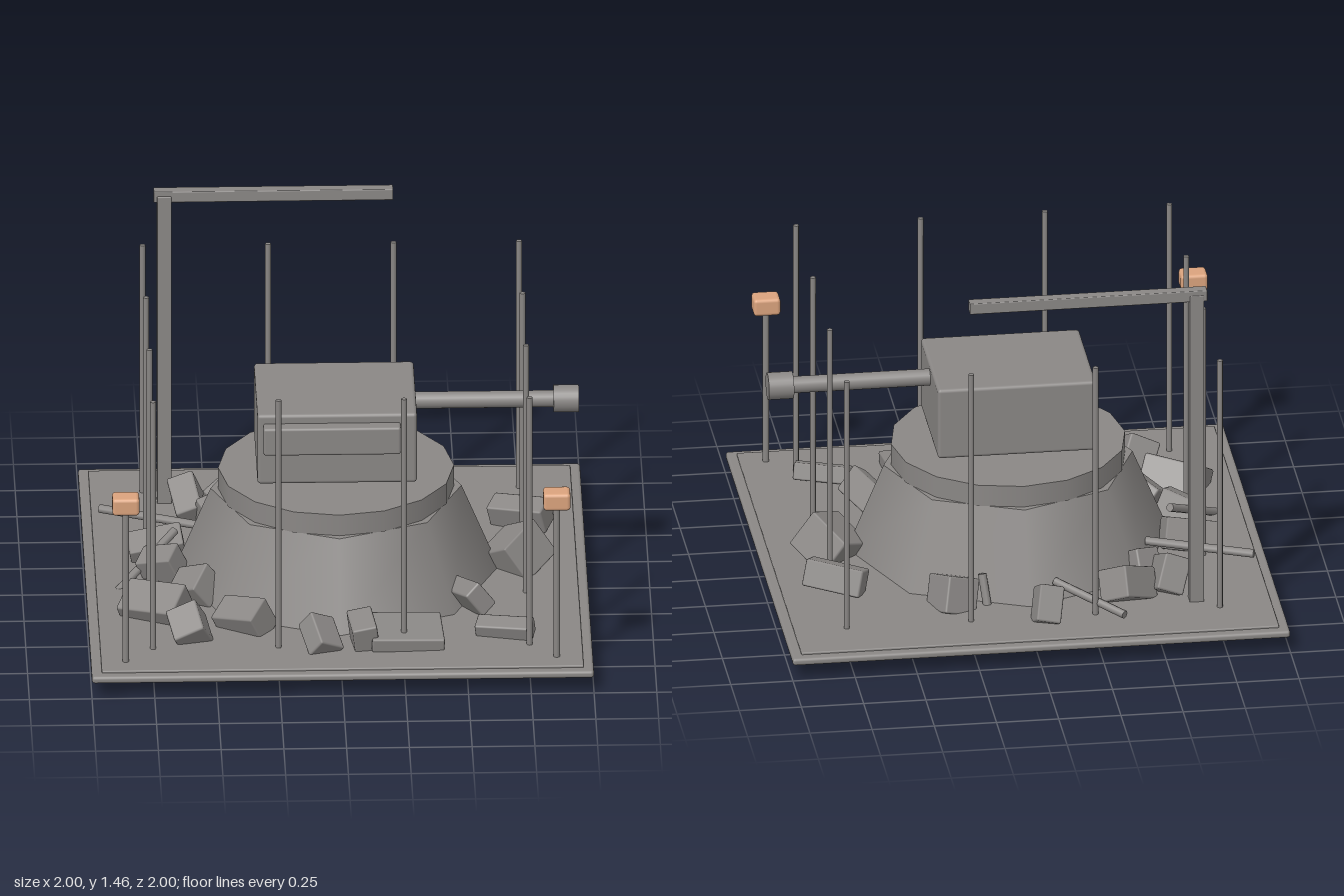
import * as THREE from 'three';
import { RoundedBoxGeometry } from 'three/addons/geometries/RoundedBoxGeometry.js';

const mat = (name, color, extra) => {
  const m = new THREE.MeshStandardMaterial({ color });
  m.name = name;
  return Object.assign(m, extra);
};

export function createModel() {
  const model = new THREE.Group();
  const concrete = mat('concrete grey', 0x8a8785);
  const orange = mat('lamp orange', 0xdba37d);

  const add = (name, geometry, x, y, z, material = concrete, parent = model) => {
    const mesh = new THREE.Mesh(geometry, material);
    mesh.name = name;
    mesh.position.set(x, y, z);
    parent.add(mesh);
    return mesh;
  };
  const group = (name) => {
    const g = new THREE.Group();
    g.name = name;
    model.add(g);
    return g;
  };
  // box with a small chamfered edge, given by its minimum and maximum corners
  const block = (name, [x0, y0, z0], [x1, y1, z1], bevel, material, parent) =>
    add(name, new RoundedBoxGeometry(x1 - x0, y1 - y0, z1 - z0, 2, bevel),
      (x0 + x1) / 2, (y0 + y1) / 2, (z0 + z1) / 2, material, parent);
  // round bar between two points
  const bar = (name, a, b, radius, parent, sides = 10) => {
    const p = new THREE.Vector3(...a), q = new THREE.Vector3(...b);
    const d = q.clone().sub(p);
    const mid = p.clone().add(q).multiplyScalar(0.5);
    const m = add(name, new THREE.CylinderGeometry(radius, radius, d.length(), sides),
      mid.x, mid.y, mid.z, concrete, parent);
    m.quaternion.setFromUnitVectors(new THREE.Vector3(0, 1, 0), d.normalize());
    return m;
  };

  // ground slab with a shallow step near its edge
  block('groundSlab', [-1, 0.095, -1], [1, 0.125, 1], 0.012);
  block('groundTop', [-0.96, 0.11, -0.96], [0.96, 0.134, 0.96], 0.005);

  // eight-sided bunker and the ring on it
  add('bunkerBase', new THREE.CylinderGeometry(0.5, 0.65, 0.36, 8), 0, 0.31, 0);
  add('bunkerRing', new THREE.CylinderGeometry(0.47, 0.47, 0.09, 16), 0, 0.535, 0);

  // turret, front plate and gun
  block('turret', [-0.32, 0.62, -0.255], [0.316, 0.922, 0.255], 0.014);
  block('turretFrontPlate', [-0.297, 0.767, 0.24], [0.25, 0.885, 0.308], 0.01);
  bar('gunBarrel', [0.3, 0.865, 0], [0.88, 0.865, 0], 0.034, model, 20);
  bar('gunMuzzle', [0.866, 0.865, 0], [0.967, 0.865, 0], 0.055, model, 24);

  // twelve posts around the edge of a square
  const posts = group('fencePosts');
  for (const x of [-0.75, -0.25, 0.25, 0.75])
    for (const z of [-0.75, -0.25, 0.25, 0.75])
      if (Math.abs(x) > 0.5 || Math.abs(z) > 0.5)
        bar('fencePost', [x, 0.12, z], [x, 1.215, z], 0.0115, posts, 8);

  // two lamps at the front corners
  for (const x of [-0.862, 0.855]) {
    const lamp = group(x > 0 ? 'leftLamp' : 'rightLamp');
    bar('lampPole', [x, 0.12, 0.868], [x, 0.8, 0.868], 0.013, lamp, 8);
    block('lampHead', [x - 0.054, 0.787, 0.823], [x + 0.054, 0.86, 0.912], 0.014, orange, lamp);
  }

  // gallows arm at the back
  const crane = group('crane');
  block('craneColumn', [-0.695, 0.12, -0.692], [-0.637, 1.475, -0.635], 0.004, concrete, crane);
  block('craneBeam', [-0.708, 1.448, -0.69], [0.246, 1.495, -0.642], 0.004, concrete, crane);

  // rubble: x, y, z, width, height, depth, pitch, yaw, roll
  const rubble = group('rubble');
  const leftAndFront = [
    [0.745, 0.19, -0.385, 0.24, 0.11, 0.1, 0.3, -0.42, 0.1],
    [0.72, 0.175, -0.03, 0.2, 0.17, 0.2, 0.35, -0.7, 0.5],
    [0.52, 0.19, 0.4, 0.2, 0.12, 0.08, 0.6, -0.95, 0.25],
    [0.655, 0.165, 0.66, 0.23, 0.07, 0.08, 0.3, -0.25, 0.05],
    [0.26, 0.17, 0.7, 0.29, 0.06, 0.22, 0.12, 0.06, -0.04],
    [0.09, 0.18, 0.73, 0.1, 0.15, 0.15, 0.2, 0.15, 0.15],
    [-0.08, 0.175, 0.74, 0.12, 0.09, 0.16, 0.5, 0.3, -0.5],
    [-0.38, 0.165, 0.55, 0.2, 0.14, 0.13, 0.45, -0.55, 0.2],
    [-0.6, 0.175, 0.64, 0.13, 0.13, 0.15, 0.5, 0.25, 0.5],
  ];
  const rightAndBack = [
    [-0.73, 0.165, 0.42, 0.25, 0.14, 0.16, 0.5, -0.45, 0.1],
    [-0.57, 0.18, 0.27, 0.16, 0.12, 0.14, 0.5, -0.5, 0.45],
    [-0.69, 0.18, 0.07, 0.16, 0.15, 0.11, 0.35, -0.4, 0.3],
    [-0.71, 0.17, -0.135, 0.22, 0.13, 0.12, 0.4, 0.12, 0.2],
    [-0.57, 0.185, -0.53, 0.11, 0.15, 0.19, 0.45, 0.2, 0.4],
    [-0.4, 0.185, -0.6, 0.2, 0.13, 0.14, 0.4, 0.9, 0.4],
    [-0.48, 0.18, -0.43, 0.11, 0.14, 0.11, 0.5, 0.6, 0.2],
    [-0.055, 0.19, -0.76, 0.1, 0.15, 0.12, 0.5, 0.15, 0.25],
    [0.3, 0.17, -0.57, 0.14, 0.15, 0.17, 0.3, 0.4, 0.3],
  ];
  for (const [x, y, z, w, h, d, pitch, yaw, roll] of [...leftAndFront, ...rightAndBack]) {
    const rock = add('rubbleBlock', new RoundedBoxGeometry(w, h, d, 1, 0.008), x, y, z, concrete, rubble);
    rock.rotation.set(pitch, yaw, roll, 'YXZ');
  }

  // loose rods among the rubble
  const rods = [
    [[-0.93, 0.21, -0.43], [-0.52, 0.21, -0.25]],
    [[-0.355, 0.165, -0.84], [-0.11, 0.21, -0.585]],
    [[-0.875, 0.12, 0.17], [-0.64, 0.27, -0.08]],
    [[0.165, 0.13, -0.6], [0.18, 0.25, -0.56]],
  ];
  for (const [a, b] of rods) bar('looseRod', a, b, 0.017, rubble, 8);

  return model;
}
